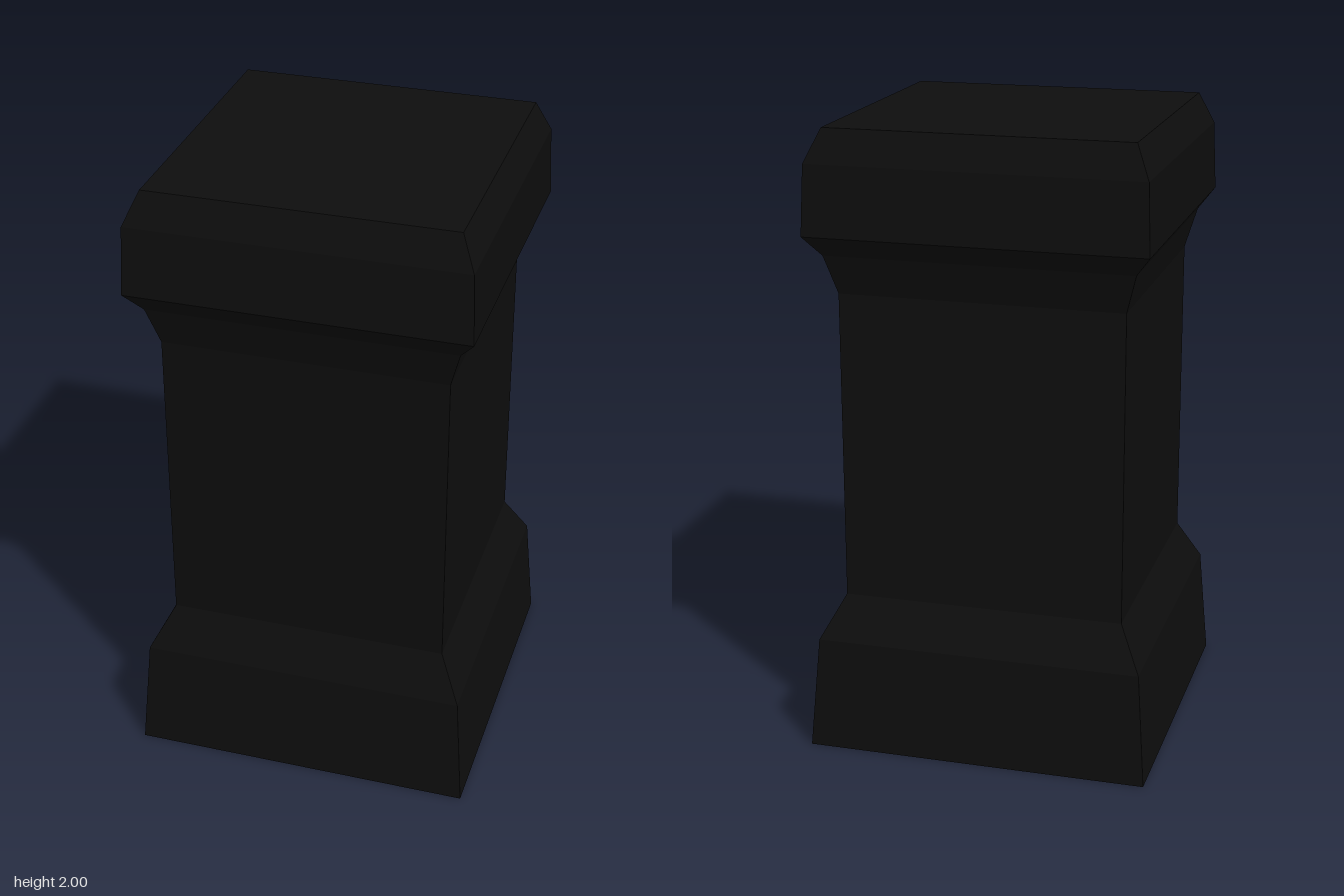
import * as THREE from 'three';

// Square "turned" section from a profile of [half-width, height] points
function squareSection(name, profile, material) {
  const points = profile.map(([w, y]) => new THREE.Vector2(w * Math.SQRT2, y));
  const geometry = new THREE.LatheGeometry(points, 4, Math.PI / 4).toNonIndexed();
  geometry.computeVertexNormals(); // flat faces with sharp edges
  const mesh = new THREE.Mesh(geometry, material);
  mesh.name = name;
  return mesh;
}

export function createModel() {
  const model = new THREE.Group();
  model.name = 'pedestal';
  const black = new THREE.MeshStandardMaterial({ color: 0x0d0d0d, side: THREE.DoubleSide });
  black.name = 'black stone';

  model.add(
    // Flared foot, open underneath
    squareSection('base', [[0.548, 0], [0.521, 0.36], [0.449, 0.498]], black),
    // Straight column
    squareSection('shaft', [[0.449, 0.498], [0.449, 1.488]], black),
    // Flared neck under the cap
    squareSection('neck', [[0.449, 1.488], [0.484, 1.612], [0.533, 1.677]], black),
    // Bevelled cap, closed on top
    squareSection('cap', [[0.533, 1.677], [0.524, 1.897], [0.479, 2], [0, 2]], black),
  );
  return model;
}
